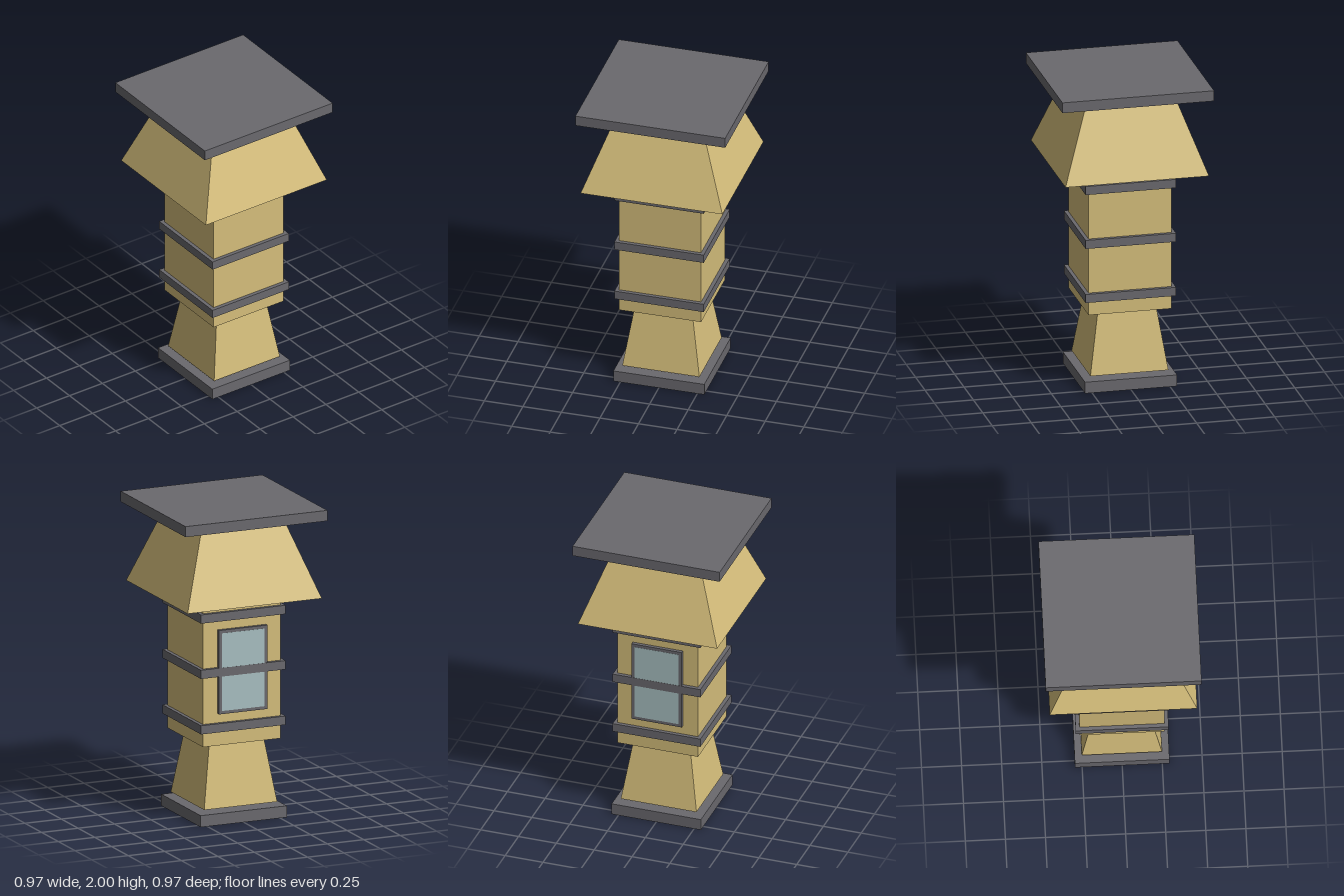
import * as THREE from 'three';

const sand = new THREE.MeshStandardMaterial({ color: 0xd5be7b, flatShading: true });
const slate = new THREE.MeshStandardMaterial({ color: 0x6a696e, flatShading: true });
const glass = new THREE.MeshStandardMaterial({ color: 0xa9c0c2, flatShading: true });

export function createModel() {
  const model = new THREE.Group();
  model.name = 'tower';

  function add(name, geometry, material, y, z = 0) {
    const mesh = new THREE.Mesh(geometry, material);
    mesh.name = name;
    mesh.position.set(0, y, z);
    model.add(mesh);
  }

  // Square slab between two heights
  function slab(name, half, y0, y1, material) {
    add(name, new THREE.BoxGeometry(half * 2, y1 - y0, half * 2), material, (y0 + y1) / 2);
  }

  // Square section tapering from bottom to top half-width
  function taper(name, bottom, top, y0, y1) {
    const g = new THREE.CylinderGeometry(top * Math.SQRT2, bottom * Math.SQRT2, y1 - y0, 4);
    g.rotateY(Math.PI / 4);
    add(name, g, sand, (y0 + y1) / 2);
  }

  // Stacked tower, from the ground up
  slab('base', 0.295, 0, 0.074, slate);
  taper('pedestal', 0.25, 0.186, 0.095, 0.505);
  slab('body', 0.266, 0.505, 1.43, sand);
  [0.623, 0.98, 1.336].forEach((y, i) => slab(`band${i + 1}`, 0.29, y - 0.028, y + 0.028, slate));
  taper('roof', 0.46, 0.275, 1.43, 1.932);
  slab('cap', 0.486, 1.932, 2, slate);

  // Framed window on the back, crossed by the middle band
  add('windowFrame', new THREE.BoxGeometry(0.33, 0.54, 0.03), slate, 0.98, -0.273);
  add('windowPane', new THREE.BoxGeometry(0.29, 0.5, 0.03), glass, 0.98, -0.274);

  return model;
}
